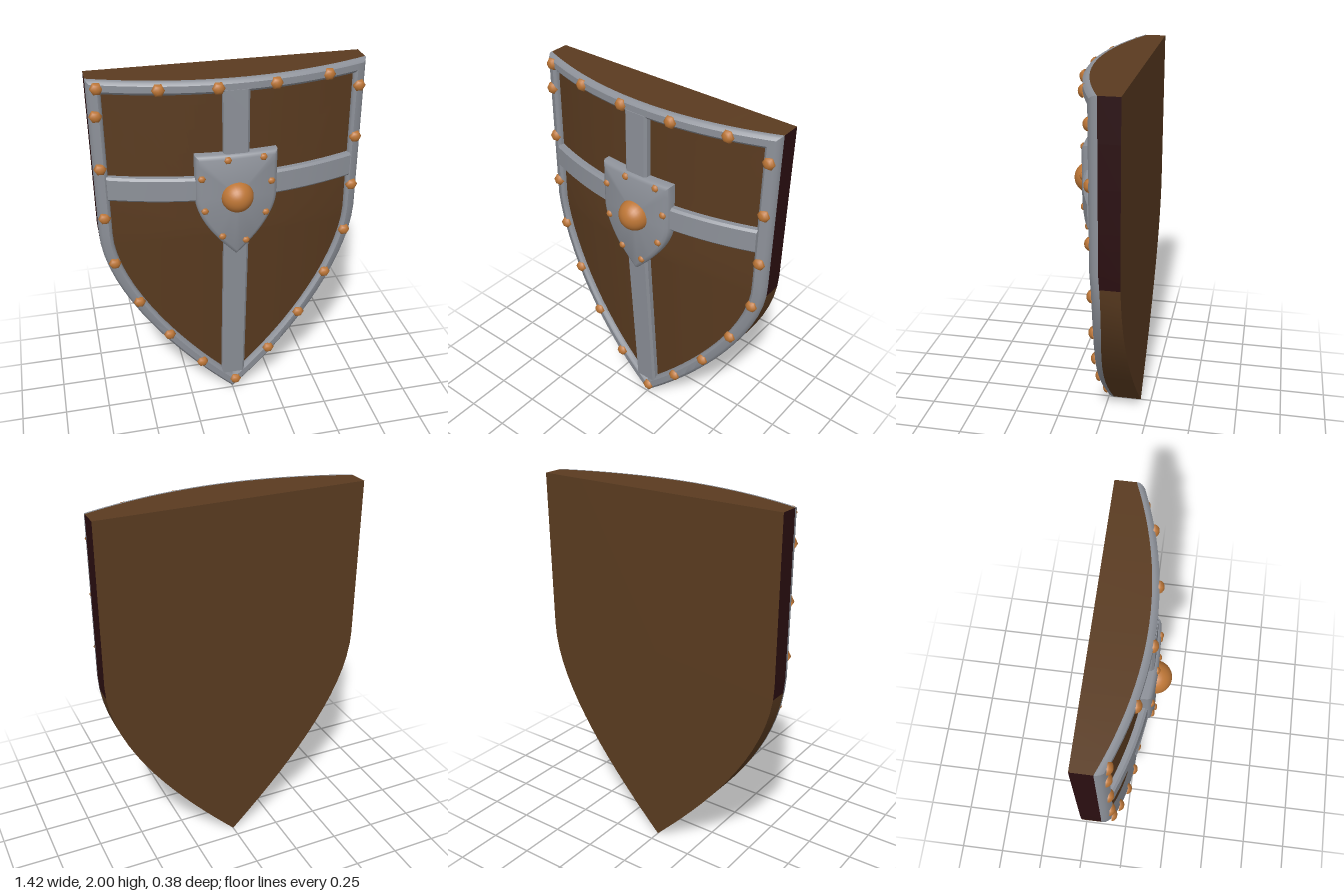
import * as THREE from 'three';
import { toCreasedNormals } from 'three/addons/utils/BufferGeometryUtils.js';

const material = (name, color, side = THREE.FrontSide) => {
  const m = new THREE.MeshStandardMaterial({ color, side });
  m.name = name;
  return m;
};

// Bowed front surface: falls away to the sides and leans back towards the tip
const bow = (x, y) => 0.06 - 0.145 * (x / 0.71) ** 2 - 0.09 * Math.max(0, 1.15 - y) / 1.15;

const CURVE = 16, SIDE = 4, TOP = 24;

// Heater-shield outline, counter-clockwise from the tip
function heater(w, top, shoulder, tip) {
  const h = shoulder - tip;
  const curve = new THREE.CubicBezierCurve(
    new THREE.Vector2(0, tip), new THREE.Vector2(w * 0.42, tip + h * 0.26),
    new THREE.Vector2(w, tip + h * 0.65), new THREE.Vector2(w, shoulder));
  const half = curve.getPoints(CURVE).map(p => [p.x, p.y]);
  for (let i = 1; i <= SIDE; i++) half.push([w, shoulder + (top - shoulder) * i / SIDE]);
  const pts = half.slice();
  for (let i = 1; i < TOP; i++) pts.push([w - 2 * w * i / TOP, top]);
  for (let i = half.length - 1; i > 0; i--) pts.push([-half[i][0], half[i][1]]);
  return pts;
}

// Joins rings of points (outer to inner) into a surface
function skin(rings, closed) {
  const n = rings[0].length, pos = rings.flat(2), index = [];
  for (let j = 0; j < rings.length - 1; j++) {
    for (let i = 0; i < (closed ? n : n - 1); i++) {
      const k = (i + 1) % n;
      const a = j * n + i, b = j * n + k, c = (j + 1) * n + k, d = (j + 1) * n + i;
      index.push(a, b, c, a, c, d);
    }
  }
  const g = new THREE.BufferGeometry();
  g.setAttribute('position', new THREE.Float32BufferAttribute(pos, 3));
  g.setIndex(index);
  return toCreasedNormals(g, 0.6);
}

// Rings offset inwards from a path by mitred normals; profile entries are [inset, height]
function offsetRings(path, profile, closed) {
  const n = path.length;
  const dir = (a, b) => {
    const l = Math.hypot(b[0] - a[0], b[1] - a[1]);
    return [(b[0] - a[0]) / l, (b[1] - a[1]) / l];
  };
  const mitres = path.map((p, i) => {
    const hasPrev = closed || i > 0, hasNext = closed || i < n - 1;
    const next = hasNext ? dir(p, path[(i + 1) % n]) : dir(path[i - 1], p);
    const prev = hasPrev ? dir(path[(i + n - 1) % n], p) : next;
    const s = 1 + prev[0] * next[0] + prev[1] * next[1];
    return [-(prev[1] + next[1]) / s, (prev[0] + next[0]) / s];
  });
  return profile.map(([d, h]) => path.map((p, i) => {
    const x = p[0] + mitres[i][0] * d, y = p[1] + mitres[i][1] * d;
    return [x, y, bow(x, y) + h];
  }));
}

// Bevelled strap following the bowed surface, closed at both ends
function strap(path, w) {
  const profile = [[-w, 0], [-w, 0.026], [-w + 0.012, 0.038], [w - 0.012, 0.038], [w, 0.026], [w, 0]];
  const rings = offsetRings(path, profile, false).map((r, j) => {
    const flat = p => [p[0], p[1], p[2] - profile[j][1]];
    return [flat(r[0]), ...r, flat(r[r.length - 1])];
  });
  return skin(rings, false);
}

export function createModel() {
  const wood = material('brown wood', 0x5a3b20);
  const darkWood = material('dark side wood', 0x2a0e10);
  const steel = material('grey steel', 0x8d9199);
  const copper = material('copper', 0xbd7636, THREE.DoubleSide);
  const shield = new THREE.Group();
  shield.name = 'shield';
  const add = (name, geometry, mat) => {
    const m = new THREE.Mesh(geometry, mat);
    m.name = name;
    shield.add(m);
    return m;
  };

  // Wooden body: bowed front, flat back, straight walls
  const outline = heater(0.71, 2, 1.15, 0.005);
  const BACK = -0.19, n = outline.length;
  const front = [1, 0.85, 0.7, 0.55, 0.4, 0.25, 0.12, 0].map(s => outline.map(([x, y]) => {
    const px = x * s, py = 1.15 + (y - 1.15) * s;
    return [px, py, bow(px, py)];
  }));
  const backRing = outline.map(([x, y]) => [x, y, BACK]);
  add('bodyFront', skin(front, true), wood);
  add('bodyBack', skin([outline.map(() => [0, 1.15, BACK]), backRing], true), wood);

  const wall = (from, to) => {
    const pick = ring => Array.from({ length: to - from + 1 }, (_, i) => ring[(from + i) % n]);
    return skin([pick(backRing), pick(front[0])], false);
  };
  const s0 = CURVE - 1, s1 = CURVE + SIDE;
  add('lowerLeftWall', wall(0, s0), wood);
  add('leftWall', wall(s0, s1), darkWood);
  add('topWall', wall(s1, s1 + TOP), wood);
  add('rightWall', wall(s1 + TOP, n - s0), darkWood);
  add('lowerRightWall', wall(n - s0, n), wood);

  // Steel rim around the edge
  const rim = [[0, 0], [0, 0.012], [0.006, 0.024], [0.018, 0.034], [0.052, 0.034], [0.064, 0.024], [0.07, 0.012], [0.07, -0.01]];
  add('rim', skin(offsetRings(outline, rim, true), true), steel);

  // Crossed steel straps
  const line = (a, b, count) => Array.from({ length: count + 1 }, (_, i) =>
    [a[0] + (b[0] - a[0]) * i / count, a[1] + (b[1] - a[1]) * i / count]);
  add('verticalStrap', strap(line([0, 0.14], [0, 1.95], 16), 0.067), steel);
  add('horizontalStrap', strap(line([-0.65, 1.422], [0.65, 1.422], 24), 0.067), steel);

  // Small raised shield in the middle
  const badgeOutline = heater(0.213, 1.615, 1.37, 1.02);
  const badgeRings = offsetRings(badgeOutline, [[0, 0], [0, 0.036], [0.007, 0.047], [0.022, 0.054]], true);
  badgeRings.push(badgeOutline.map(() => [0, 1.38, bow(0, 1.38) + 0.054]));
  add('centrePlate', skin(badgeRings, true), steel);

  // Domes: boss and rivets
  const dome = (r, sides, rows) =>
    new THREE.SphereGeometry(r, sides, rows, 0, Math.PI * 2, 0, Math.PI / 2).rotateX(Math.PI / 2);
  add('boss', dome(0.085, 24, 10), copper).position.set(0, 1.375, 0.1);

  const rivets = (name, geometry, height, spots) => spots.forEach(([x, y]) =>
    add(name, geometry, copper).position.set(x, y, bow(x, y) + height));
  rivets('rimRivet', dome(0.034, 6, 4).scale(1, 1, 0.8), 0.03, [
    [-0.66, 1.963], [-0.375, 1.963], [-0.09, 1.963], [0.2, 1.963], [0.485, 1.963],
    [0.672, 1.865], [0.672, 1.58], [0.672, 1.295], [0.65, 1.01], [0.545, 0.75],
    [0.392, 0.505], [0.212, 0.283], [0.015, 0.077], [-0.185, 0.248], [-0.368, 0.47],
    [-0.525, 0.707], [-0.641, 0.967], [-0.675, 1.25], [-0.675, 1.535], [-0.675, 1.82]]);
  rivets('plateRivet', dome(0.021, 6, 4).scale(1, 1, 0.8), 0.05, [
    [-0.05, 1.587], [0.135, 1.587], [0.18, 1.445], [0.153, 1.267],
    [0.047, 1.112], [-0.08, 1.15], [-0.17, 1.307], [-0.183, 1.492]]);

  return shield;
}
